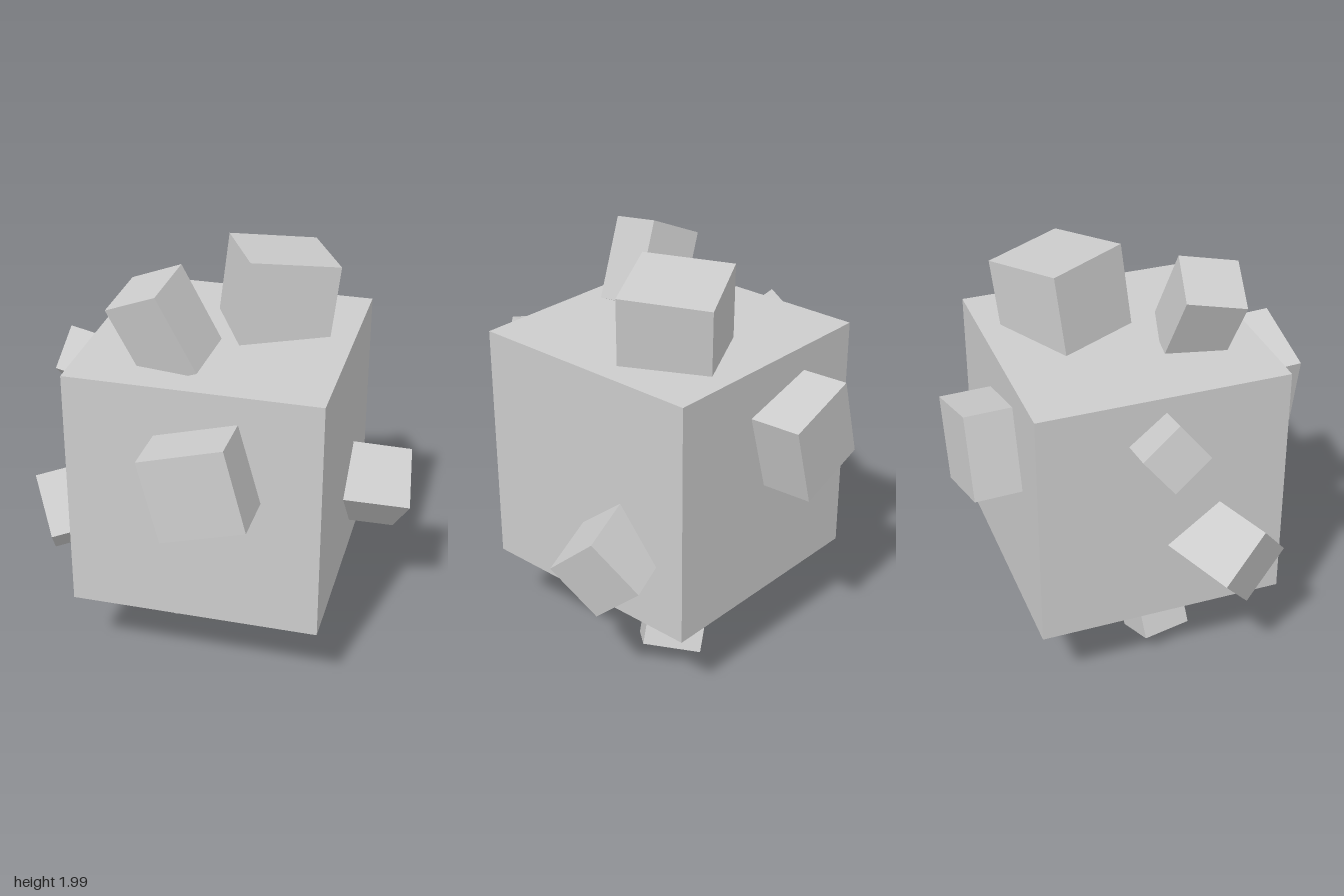
import * as THREE from 'three';

const DEPTH = 0.4; // length of every stud along its own axis

// Each stud: middle of its outer face, its two face edges, and the way it points
const STUDS = [
  { name: 'frontStud', face: [0.07, 1.204, 0.847], u: [0.386, 0.106, -0.007], v: [0.106, -0.381, 0.016], out: [0, 0, 1] },
  { name: 'backStud', face: [-0.129, 1.206, -0.845], u: [-0.377, 0.106, 0.022], v: [-0.114, -0.381, 0.002], out: [0, 0, -1] },
  { name: 'topLargeStud', face: [0.22, 1.926, -0.25], u: [0.381, -0.058, -0.193], v: [0.196, 0.016, 0.381], out: [0, 1, 0] },
  { name: 'topSmallStud', face: [-0.287, 1.918, 0.318], u: [0.247, 0.111, 0.058], v: [0.045, 0.053, -0.272], out: [0, 1, 0] },
  { name: 'leftStud', face: [0.834, 0.701, -0.306], u: [-0.035, 0.201, -0.229], v: [-0.101, -0.227, -0.183], out: [1, 0, 0] },
  { name: 'rightUpperStud', face: [-0.795, 1.378, -0.039], u: [-0.039, -0.168, 0.136], v: [-0.02, -0.132, -0.176], out: [-1, 0, 0] },
  { name: 'rightLowerStud', face: [-0.805, 0.701, 0.357], u: [0.073, 0.201, 0.213], v: [0.13, -0.227, 0.165], out: [-1, 0, 0] },
  { name: 'bottomSmallStud', face: [-0.342, 0.088, 0.052], u: [0.22, -0.076, -0.032], v: [-0.04, -0.011, -0.235], out: [0, -1, 0] },
  { name: 'bottomLargeStud', face: [0.32, 0.092, -0.297], u: [0.18, 0.05, 0.202], v: [0.18, 0.115, -0.187], out: [0, -1, 0] },
];

// Tilted box whose outer face is spanned by two edges
function makeStud({ name, face, u, v, out }, material) {
  const U = new THREE.Vector3(...u);
  const V = new THREE.Vector3(...v);
  const width = U.length();
  const height = V.length();
  U.normalize();
  const N = new THREE.Vector3().crossVectors(U, V).normalize();
  if (N.dot(new THREE.Vector3(...out)) < 0) {
    N.negate();
  }
  const W = new THREE.Vector3().crossVectors(N, U); // square to the other two

  const mesh = new THREE.Mesh(new THREE.BoxGeometry(width, height, DEPTH), material);
  mesh.name = name;
  mesh.quaternion.setFromRotationMatrix(new THREE.Matrix4().makeBasis(U, W, N));
  mesh.position.set(...face).addScaledVector(N, -DEPTH / 2);
  return mesh;
}

export function createModel() {
  const group = new THREE.Group();
  group.name = 'studdedCube';
  const grey = new THREE.MeshStandardMaterial({ color: 0xcccccc });
  grey.name = 'lightGrey';

  // Main cube
  const core = new THREE.Mesh(new THREE.BoxGeometry(1.186, 1.186, 1.186), grey);
  core.name = 'coreCube';
  core.position.set(-0.004, 0.977, -0.016);
  group.add(core);

  // Tilted studs on all six sides
  for (const stud of STUDS) group.add(makeStud(stud, grey));
  return group;
}
